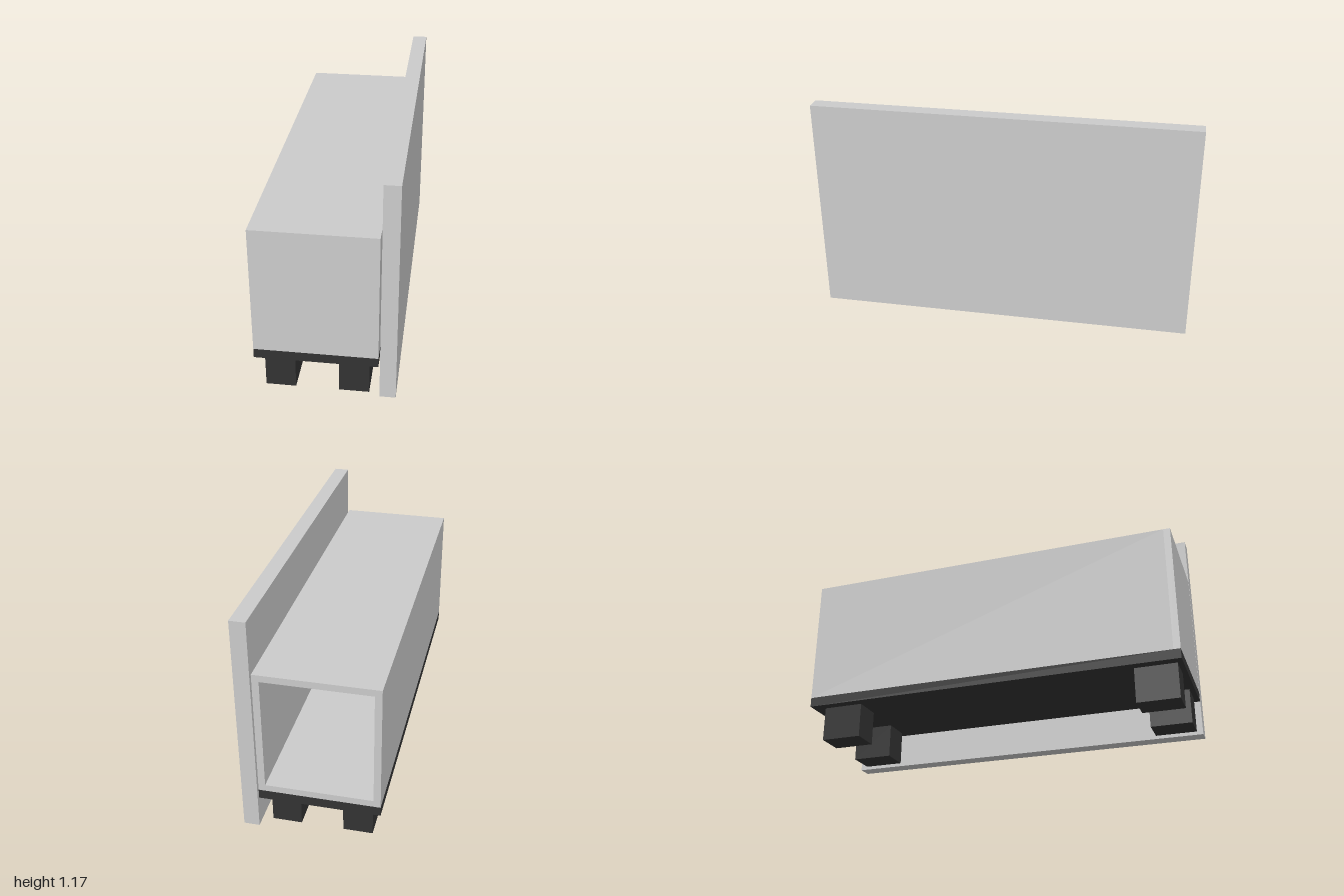
import * as THREE from 'three';

export function createModel() {
  const model = new THREE.Group();
  model.name = 'benchWithPanel';
  const grey = new THREE.MeshStandardMaterial({ color: 0xcccccc });
  const dark = new THREE.MeshStandardMaterial({ color: 0x333333 });

  // Box given by its lower and upper corners
  function block(name, material, [x0, y0, z0], [x1, y1, z1]) {
    const mesh = new THREE.Mesh(new THREE.BoxGeometry(x1 - x0, y1 - y0, z1 - z0), material);
    mesh.position.set((x0 + x1) / 2, (y0 + y1) / 2, (z0 + z1) / 2);
    mesh.name = name;
    model.add(mesh);
  }

  const left = 0.26, right = -0.35, bottom = 0.23, top = 0.9, wall = 0.035;

  // Hollow body, open at the back
  const outline = new THREE.Shape([
    new THREE.Vector2(right, bottom), new THREE.Vector2(left, bottom),
    new THREE.Vector2(left, top), new THREE.Vector2(right, top),
  ]);
  outline.holes.push(new THREE.Path([
    new THREE.Vector2(right + wall, bottom + wall), new THREE.Vector2(right + wall, top - wall),
    new THREE.Vector2(left - wall, top - wall), new THREE.Vector2(left - wall, bottom + wall),
  ]));
  const body = new THREE.Mesh(
    new THREE.ExtrudeGeometry(outline, { depth: 2 - wall, bevelEnabled: false }), grey);
  body.position.z = -1;
  body.name = 'hollowBody';
  model.add(body);

  // Closed front end
  block('frontWall', grey, [right, bottom, 1 - wall], [left, top, 1]);

  // Dark base board
  block('baseBoard', dark, [right, 0.18, -1], [left, bottom, 1]);

  // Four block feet
  for (const x of [-0.3, 0.065]) {
    for (const [name, z] of [['backFoot', -0.935], ['frontFoot', 0.76]]) {
      block(name, dark, [x, 0, z], [x + 0.15, 0.18, z + 0.214]);
    }
  }

  // Tall upright panel beside the body
  block('sidePanel', grey, [0.268, 0, -1], [0.348, 1.17, 1]);

  return model;
}
